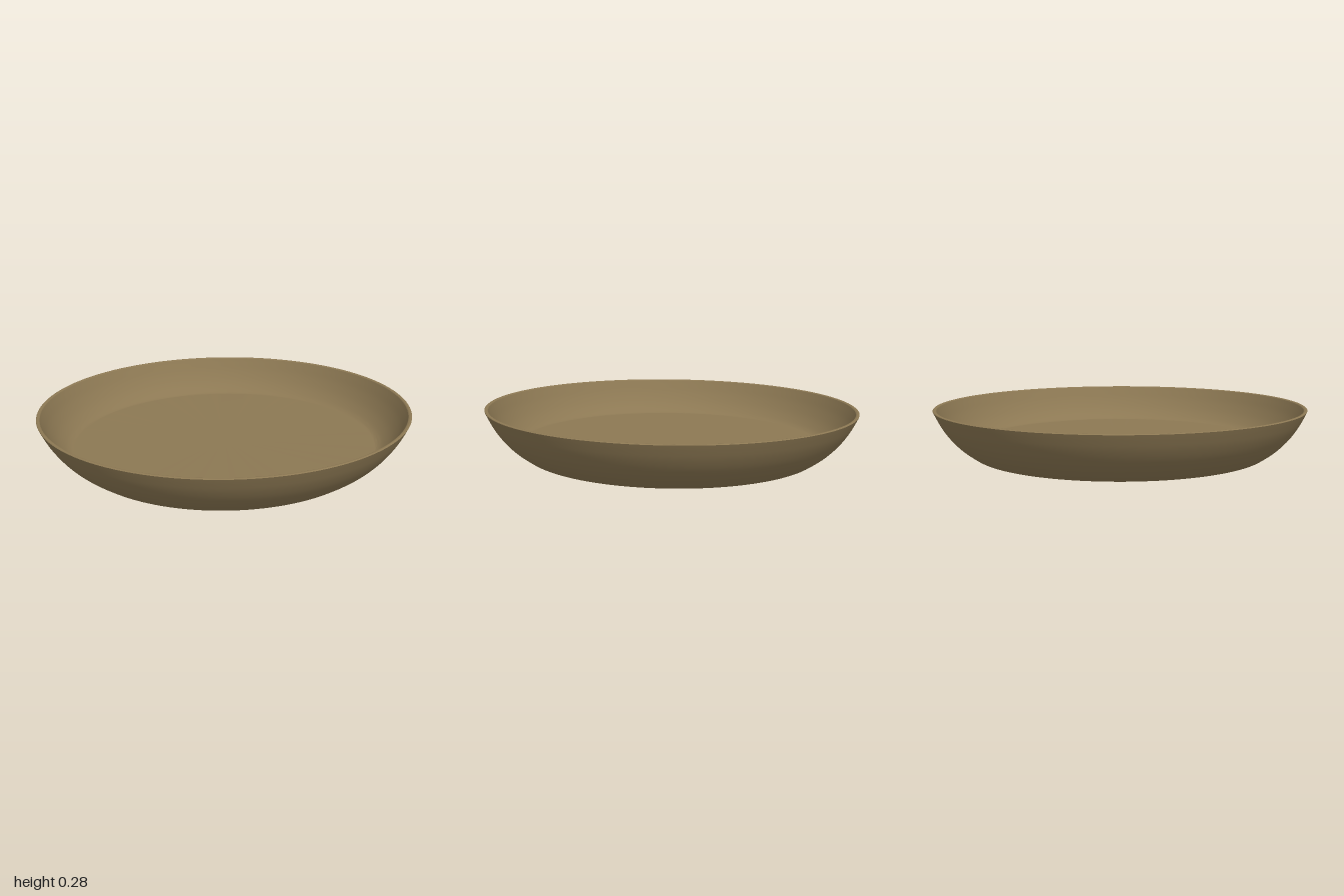
import * as THREE from 'three';
import { toCreasedNormals } from 'three/addons/utils/BufferGeometryUtils.js';

// Smooth run of profile points [radius, height]
const smooth = (pts, n) =>
  new THREE.SplineCurve(pts.map(([r, y]) => new THREE.Vector2(r, y))).getPoints(n);

export function createModel() {
  const bronze = new THREE.MeshStandardMaterial({ color: 0x8c7853 });
  bronze.name = 'bronze';

  const model = new THREE.Group();
  model.name = 'shallowDish';

  // The dish rests at a very slight tilt
  const dish = new THREE.Group();
  dish.name = 'dish';
  dish.rotation.set(0.003, 0, 0.0125);
  dish.position.y = 0.01;
  model.add(dish);

  const addLathe = (name, points) => {
    const geometry = toCreasedNormals(new THREE.LatheGeometry(points, 128), 0.6);
    const mesh = new THREE.Mesh(geometry, bronze);
    mesh.name = name;
    dish.add(mesh);
  };

  // Underside: recessed base, small centre ridge and outer foot ring
  addLathe('underside', [
    new THREE.Vector2(0, 0.03),
    ...smooth([[0.285, 0.03], [0.292, 0.022], [0.297, 0.008], [0.304, 0.002],
      [0.311, 0.008], [0.317, 0.022], [0.325, 0.03]], 16),
    ...smooth([[0.715, 0.03], [0.735, 0.024], [0.752, 0.008], [0.768, 0]], 8),
    new THREE.Vector2(0.782, 0.001),
  ]);

  // Bowed outer wall
  addLathe('outerWall', smooth([[0.782, 0.001], [0.8, 0.008], [0.865, 0.056],
    [0.92, 0.114], [0.96, 0.172], [0.985, 0.22], [0.999, 0.25]], 20));

  // Thin rim
  addLathe('rim', smooth([[0.999, 0.25], [0.996, 0.253], [0.985, 0.253], [0.98, 0.249]], 6));

  // Inner wall blending into the flat floor
  addLathe('innerWallAndFloor', [
    ...smooth([[0.98, 0.249], [0.966, 0.22], [0.94, 0.17], [0.902, 0.115],
      [0.86, 0.074], [0.83, 0.057], [0.815, 0.055]], 22),
    new THREE.Vector2(0, 0.055),
  ]);

  return model;
}
